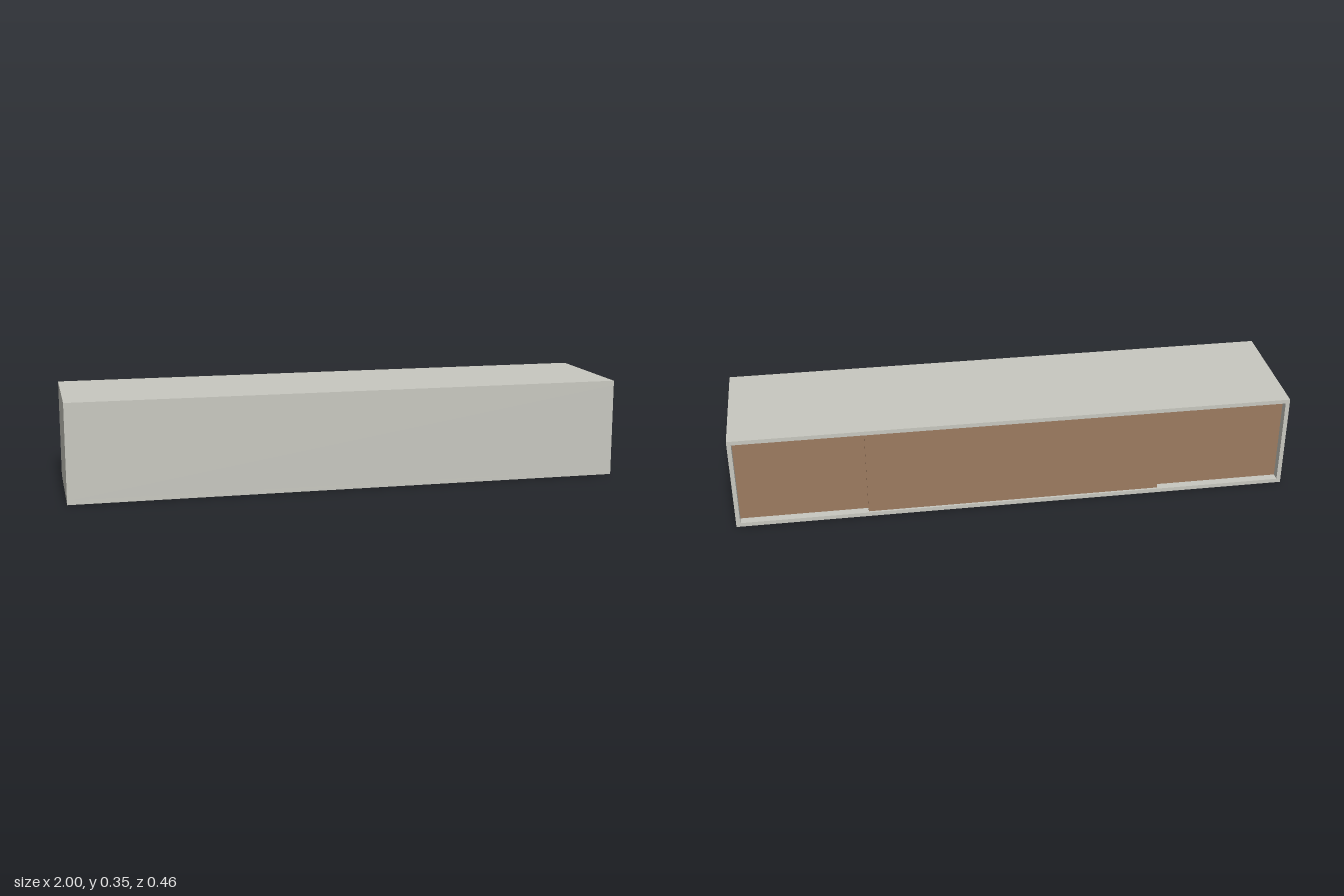
import * as THREE from 'three';

const W = 2, H = 0.354, D = 0.462; // overall size
const T = 0.015;                   // board thickness

export function createModel() {
  const model = new THREE.Group();
  model.name = 'slidingDoorCabinet';

  const grey = new THREE.MeshStandardMaterial({ color: 0xc8c8c0 });
  grey.name = 'warm grey';
  const brown = new THREE.MeshStandardMaterial({ color: 0x9c7b60 });
  brown.name = 'wood brown';

  const board = (name, material, size, position) => {
    const mesh = new THREE.Mesh(new THREE.BoxGeometry(...size), material);
    mesh.name = name;
    mesh.position.set(...position);
    model.add(mesh);
  };

  // Case: closed front, top, bottom and ends, open towards the back
  const innerW = W - 2 * T, innerH = H - 2 * T;
  board('topBoard', grey, [W, T, D], [0, H - T / 2, 0]);
  board('bottomBoard', grey, [W, T, D], [0, T / 2, 0]);
  board('frontBoard', grey, [W, innerH, T], [0, H / 2, D / 2 - T / 2]);
  for (const [name, side] of [['leftEnd', 1], ['rightEnd', -1]]) {
    board(name, grey, [T, innerH, D - T], [side * (W / 2 - T / 2), H / 2, -T / 2]);
  }

  // Sliding doors: a proud middle door overlapping two set-back side doors
  const back = -D / 2;
  const middleHalf = 0.53, overlap = 0.02;
  const sideW = innerW / 2 - middleHalf + overlap;
  const doorT = 0.018;
  board('middleDoor', brown, [2 * middleHalf, innerH, doorT], [0, H / 2, back + 0.008 + doorT / 2]);
  for (const [name, side] of [['leftDoor', 1], ['rightDoor', -1]]) {
    board(name, brown, [sideW, innerH, doorT],
      [side * (innerW / 2 - sideW / 2), H / 2, back + 0.03 + doorT / 2]);
  }

  return model;
}
